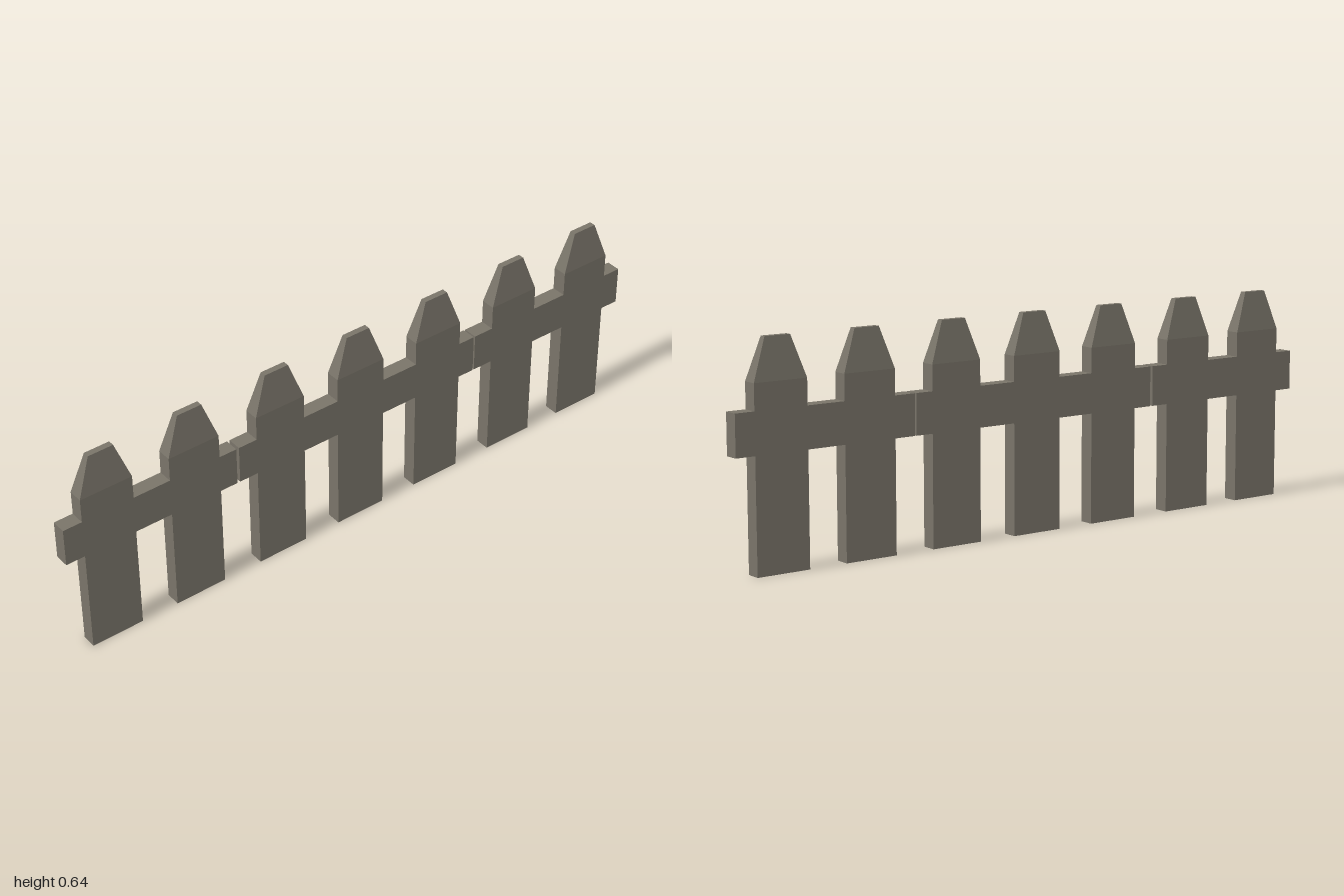
import * as THREE from 'three';

const DEPTH = 0.045, WIDTH = 0.165, SHOULDER = 0.525, TOP = 0.645;
const RAIL_LOW = 0.33, RAIL_HIGH = 0.45;

// Box whose upper vertices are drawn in to a narrow flat tip
function taperedTip() {
  const h = TOP - SHOULDER;
  const geo = new THREE.BoxGeometry(WIDTH, h, DEPTH).toNonIndexed();
  const p = geo.attributes.position;
  for (let i = 0; i < p.count; i++) {
    if (p.getY(i) > 0) {
      p.setX(i, p.getX(i) * 0.48);
      p.setZ(i, p.getZ(i) * 0.42);
    }
  }
  geo.computeVertexNormals();
  return geo.translate(0, SHOULDER + h / 2, 0);
}

export function createModel() {
  const fence = new THREE.Group();
  fence.name = 'picketFence';
  const wood = new THREE.MeshStandardMaterial({ color: 0x797469 });
  wood.name = 'weathered grey wood';

  const add = (parent, name, geo) => {
    const mesh = new THREE.Mesh(geo, wood);
    mesh.name = name;
    parent.add(mesh);
  };

  const boardGeo = new THREE.BoxGeometry(WIDTH, SHOULDER, DEPTH).translate(0, SHOULDER / 2, 0);
  const tipGeo = taperedTip();

  // Three fence panels: rail start, rail end, picket centres
  const panels = [
    ['rightPanel', -1, -0.436, [-0.858, -0.575]],
    ['middlePanel', -0.427, 0.422, [-0.284, 0, 0.285]],
    ['leftPanel', 0.427, 1, [0.575, 0.858]],
  ];

  for (const [name, start, end, centres] of panels) {
    const panel = new THREE.Group();
    panel.name = name;
    fence.add(panel);

    // Pickets with pointed tips
    for (const x of centres) {
      const picket = new THREE.Group();
      picket.name = 'picket';
      picket.position.x = x;
      add(picket, 'picketBoard', boardGeo);
      add(picket, 'picketTip', tipGeo);
      panel.add(picket);
    }

    // Rail pieces fill the spaces beside and between the pickets
    const edges = [start, ...centres.flatMap((x) => [x - WIDTH / 2, x + WIDTH / 2]), end];
    for (let i = 0; i < edges.length; i += 2) {
      const geo = new THREE.BoxGeometry(edges[i + 1] - edges[i], RAIL_HIGH - RAIL_LOW, DEPTH);
      geo.translate((edges[i] + edges[i + 1]) / 2, (RAIL_LOW + RAIL_HIGH) / 2, 0);
      add(panel, 'rail', geo);
    }
  }
  return fence;
}
